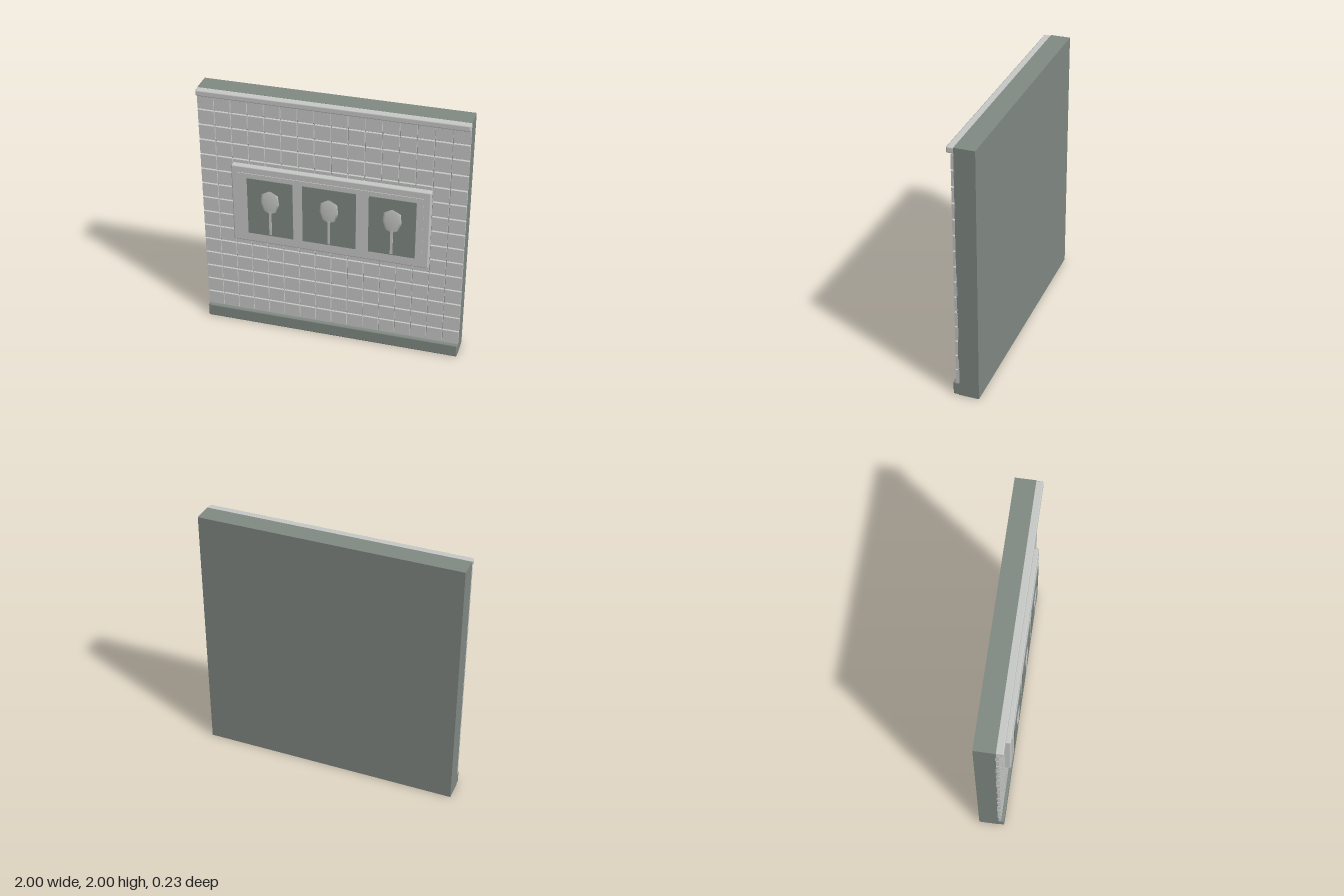
import * as THREE from 'three';
import { mergeGeometries } from 'three/addons/utils/BufferGeometryUtils.js';
import { RoundedBoxGeometry } from 'three/addons/geometries/RoundedBoxGeometry.js';

const pale = new THREE.MeshStandardMaterial({ color: 0xc8cac8 });
pale.name = 'paleStone';
const dark = new THREE.MeshStandardMaterial({ color: 0x828a84 });
dark.name = 'darkStone';

// Box given by its limits; a bevel radius rounds its edges
function block(x0, x1, y0, y1, z0, z1, bevel = 0) {
  const size = [x1 - x0, y1 - y0, z1 - z0];
  const geo = bevel ? new RoundedBoxGeometry(...size, 1, bevel) : new THREE.BoxGeometry(...size);
  return geo.translate((x0 + x1) / 2, (y0 + y1) / 2, (z0 + z1) / 2);
}

export function createModel() {
  const model = new THREE.Group();
  model.name = 'tiledWall';
  const add = (name, geo, mat, parent = model) => {
    const mesh = new THREE.Mesh(geo, mat);
    mesh.name = name;
    parent.add(mesh);
    return mesh;
  };

  add('wallSlab', block(-1, 1, 0, 2, -0.117, 0.036), dark);

  // Grid of tiles with narrow upright and wider level joints
  const cols = 16, rows = 15, bottom = 0.1, top = 1.957;
  const w = 2 / cols, h = (top - bottom) / rows;
  const tiles = [];
  for (let r = 0; r < rows; r++) {
    for (let c = 0; c < cols; c++) {
      const x0 = -1 + c * w + (c ? 0.003 : 0);
      const x1 = -1 + (c + 1) * w - (c < cols - 1 ? 0.003 : 0);
      tiles.push(block(x0, x1, bottom + r * h + 0.006, bottom + (r + 1) * h - 0.006, 0.03, 0.056));
    }
  }
  add('tiles', mergeGeometries(tiles), pale);

  // Trims along the top and bottom
  add('cornice', block(-1, 1, 1.953, 2, 0.028, 0.089, 0.01), pale);
  add('skirting', block(-1, 1, 0, 0.104, 0.028, 0.081, 0.01), dark);

  // Raised panel with a second step
  add('panelFrame', block(-0.75, 0.75, 0.783, 1.43, 0.036, 0.1, 0.01), pale);
  add('panelFace', block(-0.7, 0.7, 0.835, 1.377, 0.09, 0.105), pale);

  // Three pictures, each with a simple tree in relief
  const crownProfile = [[0, 1.055], [0.052, 1.08], [0.075, 1.15], [0.067, 1.222], [0, 1.26]]
    .map(([x, y]) => new THREE.Vector2(x, y));
  for (const [x0, x1, treeX] of [[-0.627, -0.277, -0.452], [-0.203, 0.203, 0], [0.298, 0.65, 0.474]]) {
    const picture = new THREE.Group();
    picture.name = 'picture';
    model.add(picture);
    add('pictureGround', block(x0, x1, 0.865, 1.34, 0.1, 0.111), dark, picture);
    add('treeTrunk', block(treeX - 0.01, treeX + 0.01, 0.875, 1.1, 0.105, 0.115), pale, picture);
    const crown = add('treeCrown', new THREE.LatheGeometry(crownProfile, 8), pale, picture);
    crown.scale.z = 0.1;
    crown.position.set(treeX, 0, 0.11);
  }
  return model;
}
